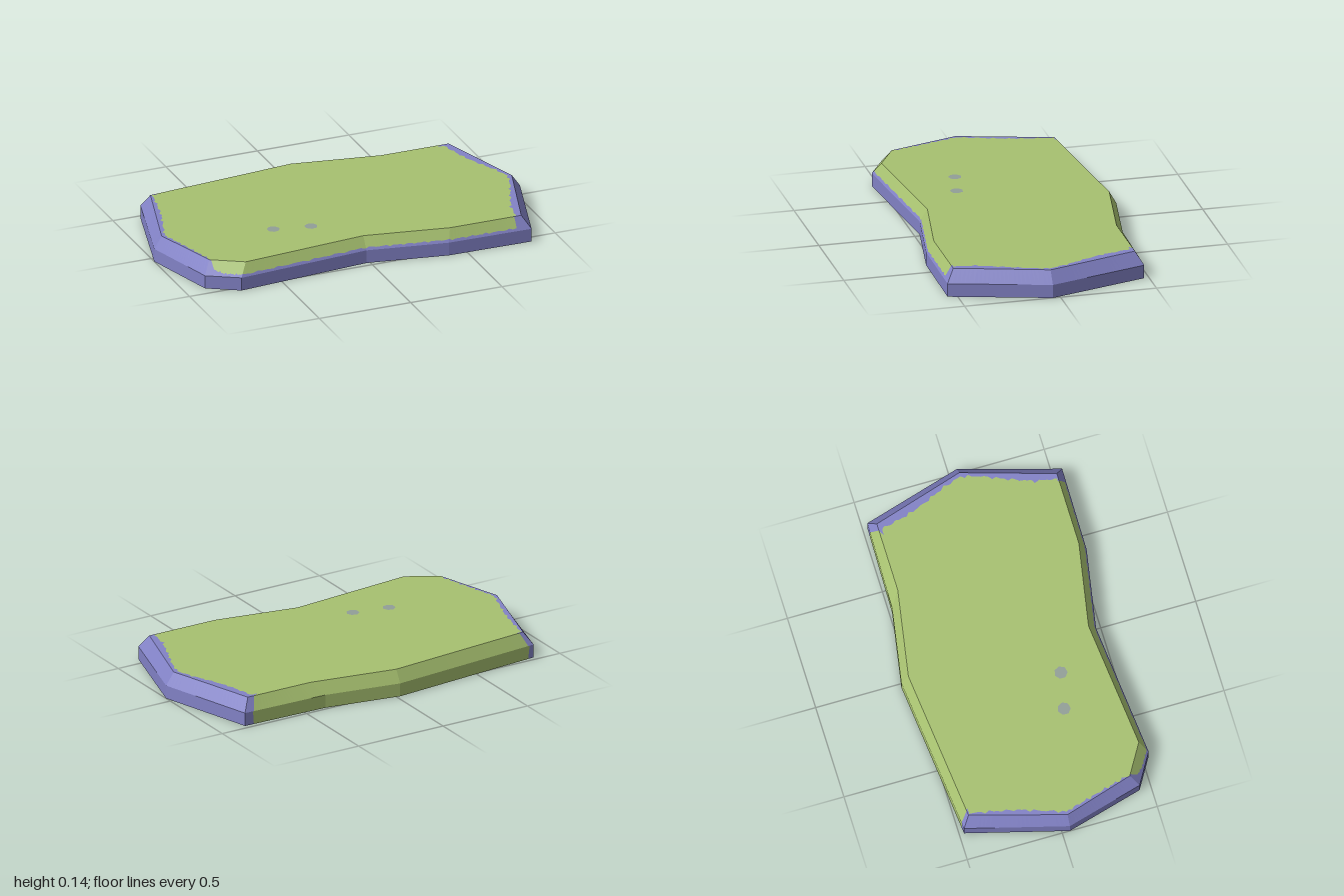
import * as THREE from 'three';

// Outline of the slab at its foot, and of the smaller top face, as [x, z]
const FOOT = [[-0.86, -0.475], [-0.02, -0.555], [0.38, -0.485], [0.85, -0.475], [1, 0.04], [0.85, 0.55],
  [0.40, 0.545], [-0.02, 0.47], [-0.73, 0.535], [-0.89, 0.44], [-1, 0.04]];
const RIM = [[-0.82, -0.44], [-0.02, -0.518], [0.44, -0.437], [0.81, -0.437], [0.955, 0.04], [0.81, 0.51],
  [0.42, 0.51], [-0.02, 0.43], [-0.69, 0.495], [-0.85, 0.40], [-0.96, 0.04]];
const WALL = 0.07, TOP = 0.135, SIDES = FOOT.length;

// Height level where stone gives way to grass, by position along the outline.
// Levels: -1 bottom centre, 0 foot, 1 wall top, 2 rim of the top face, 3 top centre
const SEAM = [[0, 2.01], [0.03, 2.01], [0.04, 0], [2.89, 0], [2.9, 2.035], [3, 2.04], [3.3, 2.05], [3.5, 2.045],
  [3.8, 2.025], [4.2, 2.02], [4.5, 2.035], [4.8, 2.045], [5, 2.03], [5.1, 2], [5.16, 1.2], [8.5, 1.2],
  [8.8, 1.4], [8.95, 2], [9.1, 2.008], [9.5, 2.014], [10, 2.018], [10.5, 2.03], [10.8, 2.02], [11, 2.01]];

function seamAt(u) {
  let i = 0;
  while (i < SEAM.length - 2 && SEAM[i + 1][0] < u) i++;
  const [u0, s0] = SEAM[i], [u1, s1] = SEAM[i + 1];
  const s = s0 + (s1 - s0) * (u - u0) / (u1 - u0);
  const wobble = Math.sin(u * 41) + Math.sin(u * 67 + 1);
  if (s > 2) return Math.max(2, s + 0.005 * wobble);
  return s > 1 && s < 1.5 ? s + 0.035 * wobble : s;
}

function along(loop, u) {
  const i = Math.floor(u + 1e-9), f = u - i;
  const a = loop[i % SIDES], b = loop[(i + 1) % SIDES];
  return [a[0] + (b[0] - a[0]) * f, a[1] + (b[1] - a[1]) * f];
}

// Point on the slab surface at outline position u and level t
function surface(u, t) {
  const [fx, fz] = along(FOOT, u), [rx, rz] = along(RIM, u);
  if (t <= 0) return new THREE.Vector3(fx * (1 + t), 0, fz * (1 + t));
  if (t <= 1) return new THREE.Vector3(fx, WALL * t, fz);
  if (t <= 2) {
    const k = t - 1;
    return new THREE.Vector3(fx + (rx - fx) * k, WALL + (TOP - WALL) * k, fz + (rz - fz) * k);
  }
  return new THREE.Vector3(rx * (3 - t), TOP, rz * (3 - t));
}

function addTriangle(out, a, b, c) {
  const area = b.clone().sub(a).cross(c.clone().sub(a)).length();
  if (area > 1e-9) for (const p of [a, b, c]) out.push(p.x, p.y, p.z);
}

// One patch between two columns, from the lower to the upper level of each
function addPatch(out, u0, u1, low0, low1, high0, high1) {
  const a = surface(u0, low0), b = surface(u1, low1), c = surface(u1, high1), d = surface(u0, high0);
  addTriangle(out, a, d, c);
  addTriangle(out, a, c, b);
}

function flatMesh(name, positions, material) {
  const geometry = new THREE.BufferGeometry();
  geometry.setAttribute('position', new THREE.Float32BufferAttribute(positions, 3));
  geometry.computeVertexNormals();
  const mesh = new THREE.Mesh(geometry, material);
  mesh.name = name;
  return mesh;
}

export function createModel() {
  const stone = new THREE.MeshStandardMaterial({ color: 0x8282c6 });
  stone.name = 'violet stone';
  const grass = new THREE.MeshStandardMaterial({ color: 0xa7c170 });
  grass.name = 'grass green';
  const pebble = new THREE.MeshStandardMaterial({ color: 0x929f98 });
  pebble.name = 'pebble grey';

  const group = new THREE.Group();
  group.name = 'grassyPlatform';

  // Columns around the outline, with one at every corner and seam break
  const columns = SEAM.map(([u]) => u);
  for (let i = 0; i <= SIDES * 24; i++) columns.push(i / 24);
  columns.sort((a, b) => a - b);

  const stoneFaces = [], grassFaces = [];
  for (let i = 0; i + 1 < columns.length; i++) {
    const u0 = columns[i], u1 = columns[i + 1];
    if (u1 - u0 < 1e-6) continue;
    const s0 = seamAt(u0), s1 = seamAt(u1);
    // Split every band (underside, wall, bevel, top) at the seam
    for (let low = -1; low < 3; low++) {
      const m0 = THREE.MathUtils.clamp(s0, low, low + 1);
      const m1 = THREE.MathUtils.clamp(s1, low, low + 1);
      addPatch(stoneFaces, u0, u1, low, low, m0, m1);
      addPatch(grassFaces, u0, u1, m0, m1, low + 1, low + 1);
    }
  }
  group.add(flatMesh('stoneBase', stoneFaces, stone), flatMesh('grassCover', grassFaces, grass));

  // Two small worn spots in the grass
  for (const [x, z] of [[-0.41, 0.185], [-0.22, 0.225]]) {
    const spot = new THREE.Mesh(new THREE.CircleGeometry(0.034, 7), pebble);
    spot.name = 'wornSpot';
    spot.rotation.x = -Math.PI / 2;
    spot.position.set(x, TOP + 0.002, z);
    group.add(spot);
  }
  return group;
}
